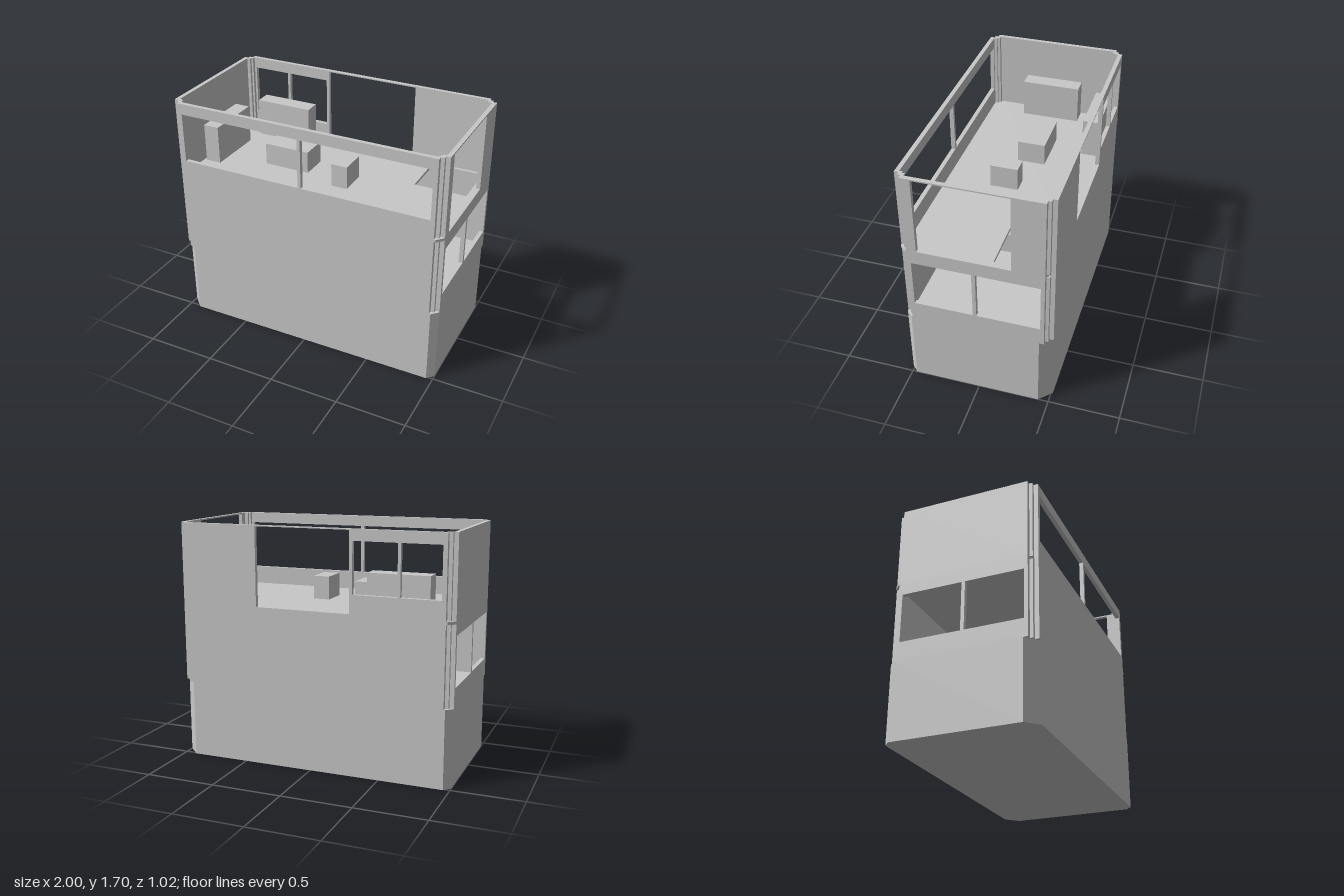
import * as THREE from 'three';

const HX = 1, HZ = 0.5125, T = 0.03;      // half footprint and wall thickness
const BASE = 0.55, SLAB0 = 1.11, SLAB1 = 1.13, TOP = 1.695;

export function createModel() {
  const model = new THREE.Group();
  model.name = 'twoStoreyHouse';
  const plaster = new THREE.MeshStandardMaterial({ color: 0xc8c8c8 });
  plaster.name = 'plaster grey';

  const add = (name, geometry, parent = model) => {
    const mesh = new THREE.Mesh(geometry, plaster);
    mesh.name = name;
    parent.add(mesh);
    return mesh;
  };

  // Box given by its limits
  const block = (name, x0, x1, y0, y1, z0, z1) => {
    const mesh = add(name, new THREE.BoxGeometry(x1 - x0, y1 - y0, z1 - z0));
    mesh.position.set((x0 + x1) / 2, (y0 + y1) / 2, (z0 + z1) / 2);
  };

  const rectPath = (Kind, u0, u1, v0, v1) => new Kind([
    new THREE.Vector2(u0, v0), new THREE.Vector2(u1, v0),
    new THREE.Vector2(u1, v1), new THREE.Vector2(u0, v1),
  ]);

  const extrude = (shape, depth) =>
    new THREE.ExtrudeGeometry(shape, { depth, bevelEnabled: false });

  // Footprint with two wide and two narrow corner chamfers, drawn in x and -z
  const footprint = () => {
    const a = 0.045, b = 0.085;
    return new THREE.Shape([
      [-HX + b, -HZ], [HX - a, -HZ], [HX, -HZ + a], [HX, HZ - b],
      [HX - b, HZ], [-HX + a, HZ], [-HX, HZ - a], [-HX, -HZ + b],
    ].map(([x, y]) => new THREE.Vector2(x, y)));
  };
  const layer = (name, shape, y0, y1) => {
    const geometry = extrude(shape, y1 - y0);
    geometry.rotateX(-Math.PI / 2);
    add(name, geometry).position.y = y0;
  };

  // Base and upper floor with a stairwell opening
  layer('base', footprint(), 0, BASE);
  const floor = footprint();
  floor.holes.push(rectPath(THREE.Path, 0.565, 0.945, 0.11, 0.46));
  layer('upperFloor', floor, SLAB0, SLAB1);

  // Wall panels with window openings [from, to, bottom, top]
  const wall = (name, half, y0, y1, openings) => {
    const shape = rectPath(THREE.Shape, -half, half, y0, y1);
    for (const o of openings) shape.holes.push(rectPath(THREE.Path, ...o));
    return add(name, extrude(shape, T));
  };
  const LX = 0.945, LZ = 0.46;
  wall('lowerFrontWall', LX, BASE, SLAB1, []).position.z = HZ - T;
  wall('lowerBackWall', LX, BASE, SLAB1, []).position.z = -HZ;
  wall('upperFrontWall', LX, SLAB1, TOP, [
    [-0.915, -0.025, 1.263, 1.617], [-0.002, 0.915, 1.263, 1.617],
  ]).position.z = HZ - T;
  wall('upperBackWall', LX, SLAB1, TOP, [
    [-0.915, -0.64, 1.263, 1.617], [-0.62, -0.31, 1.263, 1.617],
    [-0.288, 0.397, SLAB1 + 0.003, 1.687],
  ]).position.z = -HZ;

  // Side panels: the outline runs along -z after a quarter turn
  const sideWall = (name, x, y0, y1, openings) => {
    const mesh = wall(name, LZ, y0, y1, openings);
    mesh.rotation.y = Math.PI / 2;
    mesh.position.x = x;
  };
  const sideWindows = [[-0.433, -0.025, 0.68, 1.03], [0, 0.433, 0.68, 1.03]];
  for (const [side, x] of [['left', HX - T], ['right', -HX]]) {
    sideWall(side + 'LowerWall', x, BASE, SLAB1, sideWindows);
    sideWall(side + 'UpperWall', x, SLAB1, TOP,
      side === 'left' ? [[-0.39, 0.24, SLAB1 + 0.003, 1.685]] : []);
  }

  // Recessed corner posts, L-shaped in plan
  for (const sx of [-1, 1]) for (const sz of [-1, 1]) {
    for (const [y0, y1] of [[BASE, SLAB0], [SLAB1, TOP]]) {
      const span = (s, a, b) => (s > 0 ? [a, b] : [-b, -a]);
      block('cornerPost', ...span(sx, 0.945, 0.97), y0, y1, ...span(sz, 0.44, HZ - T));
      block('cornerPost', ...span(sx, 0.93, 0.945), y0, y1, ...span(sz, 0.46, HZ - T));
    }
  }

  // Upper floor furniture
  block('upperSideCabinet', -0.95, -0.835, SLAB1, 1.41, -0.215, 0.215);
  block('upperBackCabinet', -0.83, -0.4, SLAB1, 1.41, -0.475, -0.355);
  block('upperTable', -0.525, -0.185, SLAB1, 1.29, -0.13, 0.07);
  block('upperSeat', 0.05, 0.17, SLAB1, 1.297, -0.035, 0.163);

  // Lower floor furniture
  block('lowerCabinet', -0.35, 0.08, BASE, 0.83, 0.355, 0.475);
  block('lowerTable', -0.64, -0.44, BASE, 0.705, -0.125, 0.215);
  block('lowerSeat', 0.05, 0.17, BASE, 0.712, -0.035, 0.163);

  return model;
}
